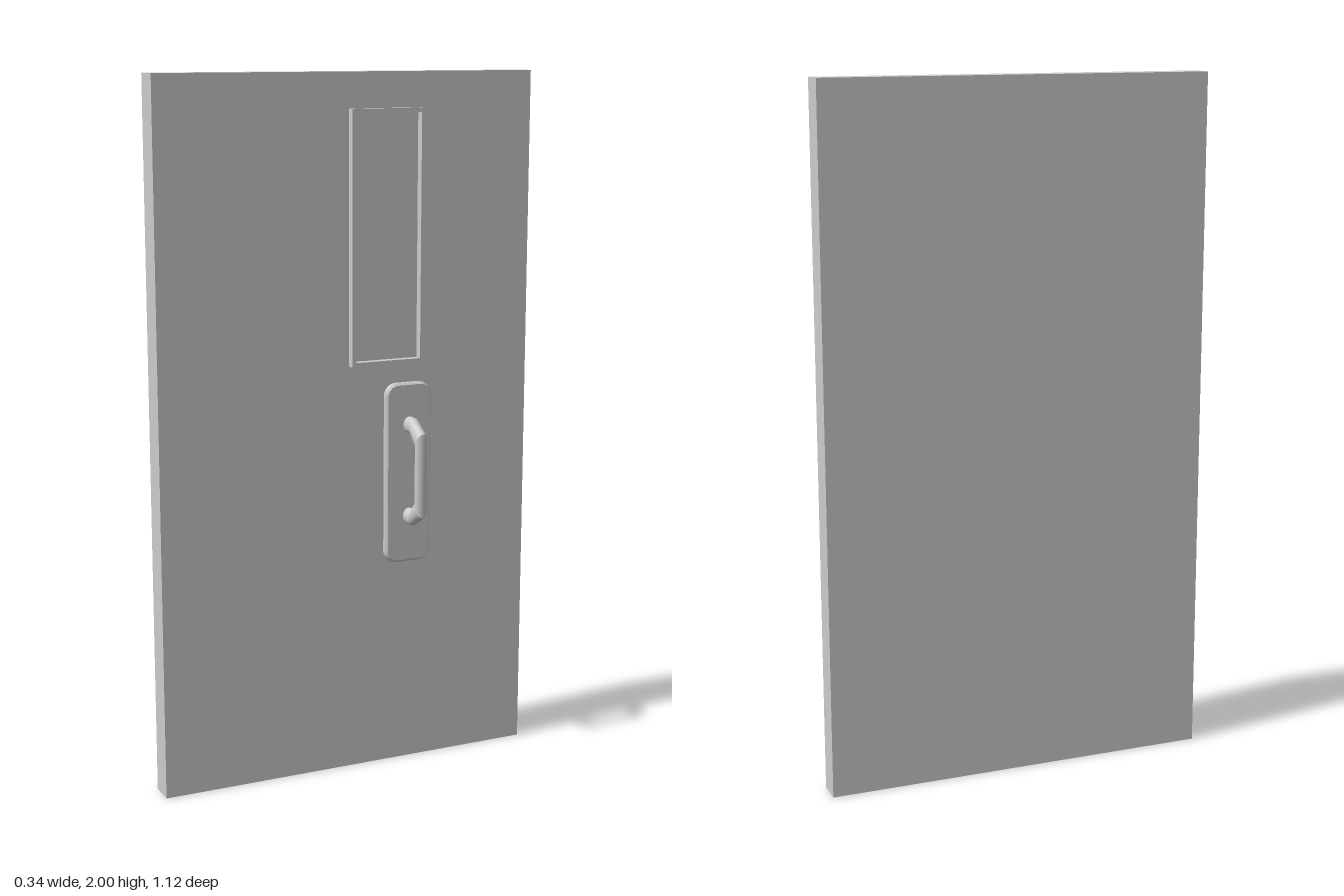
import * as THREE from 'three';
import { mergeGeometries } from 'three/addons/utils/BufferGeometryUtils.js';

const grey = new THREE.MeshStandardMaterial({ color: 0xcccccc });
const FACE = 0.037; // half the door thickness: the outer face in door space

function add(group, name, geometry, x = 0, y = 0, z = 0) {
  const mesh = new THREE.Mesh(geometry, grey);
  mesh.name = name;
  mesh.position.set(x, y, z);
  group.add(mesh);
  return mesh;
}

// Rounded rectangle outline centred on the origin
function roundedRect(w, h, r) {
  const s = new THREE.Shape();
  const x = w / 2 - r, y = h / 2 - r;
  s.absarc(x, y, r, 0, Math.PI / 2);
  s.absarc(-x, y, r, Math.PI / 2, Math.PI);
  s.absarc(-x, -y, r, Math.PI, Math.PI * 1.5);
  s.absarc(x, -y, r, Math.PI * 1.5, Math.PI * 2);
  s.closePath();
  return s;
}

// Plain rectangle, as a shape or as a hole
function rect(w, h, Type) {
  return new Type([
    new THREE.Vector2(-w / 2, -h / 2), new THREE.Vector2(w / 2, -h / 2),
    new THREE.Vector2(w / 2, h / 2), new THREE.Vector2(-w / 2, h / 2),
  ]);
}

// Elliptical bar through mitred sections; each section is [outer z, outer y, inner z, inner y]
function mitredBar(sections, halfWidth, sides = 24) {
  const ring = ([oz, oy, iz, iy]) => Array.from({ length: sides }, (_, i) => {
    const a = (i / sides) * Math.PI * 2, c = Math.cos(a) / 2;
    return [Math.sin(a) * halfWidth, (oy + iy) / 2 + (oy - iy) * c, (oz + iz) / 2 + (oz - iz) * c];
  });
  const parts = [];
  for (let k = 0; k < sections.length - 1; k++) {
    const points = [...ring(sections[k]), ...ring(sections[k + 1])];
    const index = [];
    for (let i = 0; i < sides; i++) {
      const j = (i + 1) % sides;
      index.push(i, i + sides, j, j, i + sides, j + sides);
    }
    const g = new THREE.BufferGeometry();
    g.setAttribute('position', new THREE.Float32BufferAttribute(points.flat(), 3));
    g.setIndex(index);
    g.computeVertexNormals();
    parts.push(g);
  }
  return mergeGeometries(parts);
}

export function createModel() {
  const door = new THREE.Group();
  door.name = 'door';

  // Door slab
  add(door, 'doorSlab', new THREE.BoxGeometry(1.136, 2, FACE * 2), 0, 1, 0);

  // Raised rectangular window frame
  const frame = rect(0.224, 0.712, THREE.Shape);
  frame.holes.push(rect(0.2, 0.688, THREE.Path));
  add(door, 'windowFrame',
    new THREE.ExtrudeGeometry(frame, { depth: 0.023, bevelEnabled: false }), 0.11, 1.545, FACE);

  // Rounded backing plate with a small bevel around its front
  const bevel = 0.006;
  add(door, 'handlePlate', new THREE.ExtrudeGeometry(roundedRect(0.143, 0.526, 0.036), {
    depth: 0.018 - bevel, curveSegments: 8, bevelEnabled: true,
    bevelThickness: bevel, bevelSize: bevel, bevelOffset: -bevel, bevelSegments: 1,
  }), 0.179, 0.868, FACE);

  // Pull handle: two feet, angled corners and a straight grip, mirrored top to bottom
  const half = [
    [0.045, 0.158, 0.045, 0.11],
    [0.083, 0.158, 0.087, 0.11],
    [0.144, 0.122, 0.114, 0.074],
  ];
  const lower = half.map(([oz, oy, iz, iy]) => [oz, -oy, iz, -iy]).reverse();
  add(door, 'pullHandle', mitredBar([...half, ...lower], 0.0185), 0.18, 0.876, 0);

  // The door stands swung round
  door.rotation.y = 1.349;
  door.position.set(-0.0115, 0, -0.002);

  const model = new THREE.Group();
  model.name = 'doorModel';
  model.add(door);
  return model;
}
